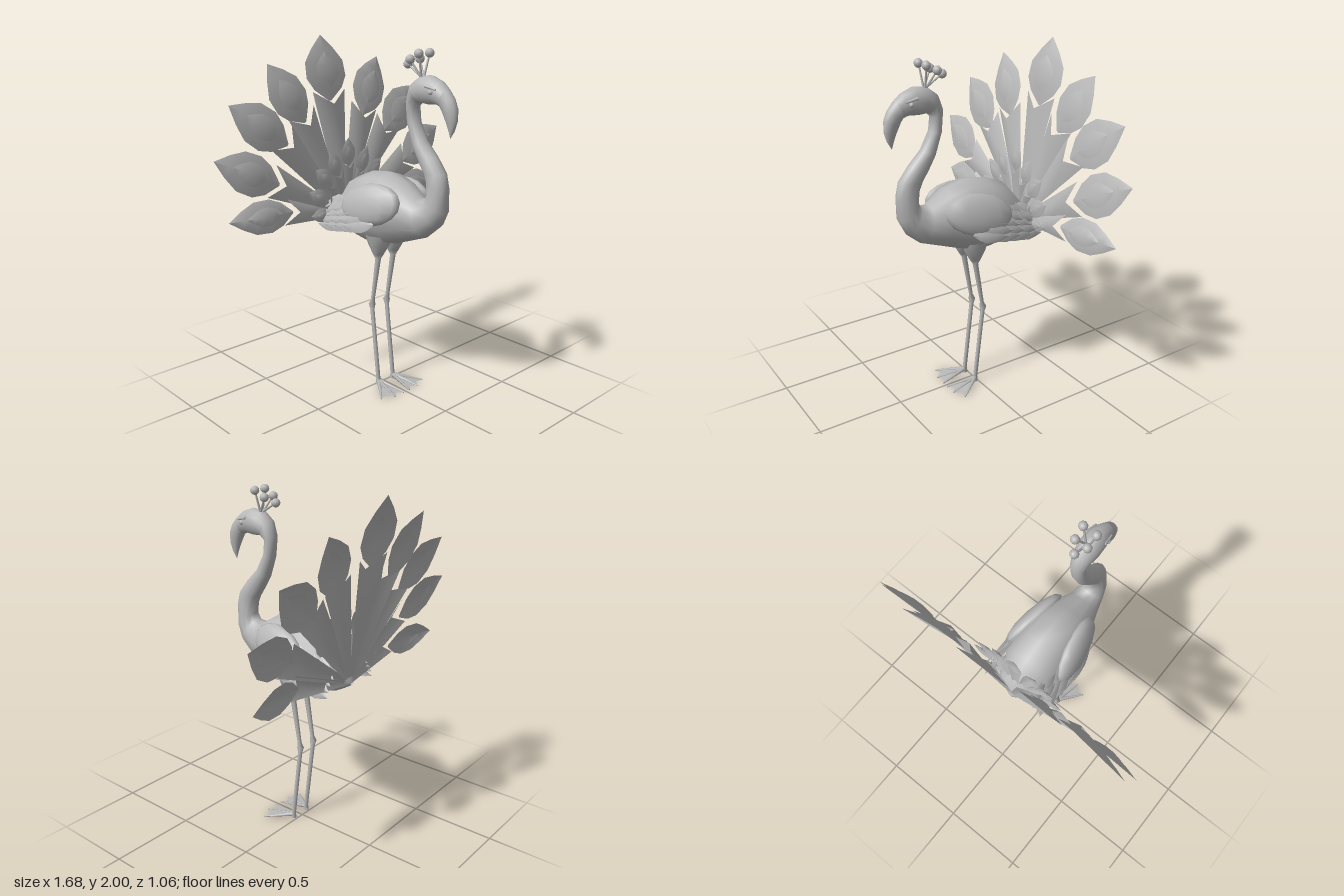
import * as THREE from 'three';

const grey = new THREE.MeshStandardMaterial({ color: 0xb8b8b8, side: THREE.DoubleSide });
grey.name = 'plumage grey';

function part(name, geometry, parent) {
  const mesh = new THREE.Mesh(geometry, grey);
  mesh.name = name;
  parent.add(mesh);
  return mesh;
}

function surface(positions, index) {
  const g = new THREE.BufferGeometry();
  g.setAttribute('position', new THREE.Float32BufferAttribute(positions, 3));
  g.setIndex(index);
  g.computeVertexNormals();
  return g;
}

// Skin elliptical rings; each section: [upperZ, upperY, lowerZ, lowerY, halfWidth]
function loft(sections, sides = 12) {
  const pos = [], idx = [];
  sections.forEach(([tz, ty, bz, by, w], i) => {
    for (let j = 0; j < sides; j++) {
      const a = (j / sides) * Math.PI * 2, c = Math.cos(a) / 2;
      pos.push(w * Math.sin(a), (ty + by) / 2 + (ty - by) * c, (tz + bz) / 2 + (tz - bz) * c);
      if (i === sections.length - 1) continue;
      const p = i * sides + j, q = i * sides + (j + 1) % sides;
      idx.push(p, p + sides, q, q, p + sides, q + sides);
    }
  });
  return surface(pos, idx);
}

// Folded leaf along +y; rows: [t, relative half width]; notch pulls the end's middle back
function blade(length, width, rows, cup, notch = 0) {
  const pos = [], idx = [];
  rows.forEach(([t, w], i) => {
    const last = i === rows.length - 1, y = t * length;
    const ridge = notch ? cup * t : cup * Math.sin(Math.PI * t);
    pos.push(-w * width, y, 0, 0, last ? y - notch : y, ridge, w * width, y, 0);
    if (last) return;
    const p = i * 3;
    for (const k of [p, p + 1]) idx.push(k, k + 1, k + 3, k + 1, k + 4, k + 3);
  });
  return surface(pos, idx);
}

const LEAF = [[0, 0.06], [0.18, 0.7], [0.36, 1], [0.6, 0.96], [0.8, 0.55], [1, 0]];
const QUILL = [[0, 0.1], [0.5, 0.56], [1, 1]];

// Feather with a notched stalk, a leaf-shaped head and a raised eye on both faces.
// The lifts move the head's base and tip forward of the fan's plane.
function eyedFeather([bx, by, tx, ty, width, baseLift, tipLift]) {
  const feather = new THREE.Group();
  feather.name = 'tailFeather';
  const reach = Math.hypot(bx, by);
  const stalk = part('featherStalk', blade(reach + 0.06, width * 0.82, QUILL, 0.035, 0.08), feather);
  stalk.rotation.set(Math.asin(baseLift / reach), 0, -Math.atan2(bx, by), 'ZXY');

  const head = new THREE.Group();
  head.name = 'featherHead';
  const length = Math.hypot(tx - bx, ty - by), cup = 0.028, s = 0.56;
  head.position.set(bx, by, baseLift);
  head.rotation.set(Math.asin((tipLift - baseLift) / length), 0, -Math.atan2(tx - bx, ty - by), 'ZXY');
  feather.add(head);
  part('featherVane', blade(length, width, LEAF, cup), head);
  for (const side of [1, -1]) {
    const eye = part('featherEye', blade(length * s, width * s, LEAF, cup * s), head);
    eye.position.set(0, length * 0.19, cup * (1 - s) + side * 0.006);
  }
  return feather;
}

// Heads of half the fan: base x, y, tip x, y, half width, base lift, tip lift
const FAN = [
  [0, 0.67, 0, 1.05, 0.145, 0.01, 0],
  [0.215, 0.565, 0.405, 0.905, 0.122, 0.03, 0.015],
  [0.365, 0.455, 0.695, 0.705, 0.122, 0.04, 0.025],
  [0.47, 0.25, 0.84, 0.43, 0.115, 0.055, 0.035],
  [0.4, 0.085, 0.79, 0.095, 0.092, 0.045, 0],
];

function fan(name) {
  const g = new THREE.Group();
  g.name = name;
  FAN.forEach((f, i) => {
    g.add(eyedFeather(f));
    if (i) g.add(eyedFeather([-f[0], f[1], -f[2], ...f.slice(3)]));
  });
  return g;
}

// Tapered rod between two points
function rod(name, a, b, r1, r2, parent) {
  const from = new THREE.Vector3(...a), to = new THREE.Vector3(...b);
  const dir = to.clone().sub(from);
  const m = part(name, new THREE.CylinderGeometry(r2, r1, dir.length(), 6), parent);
  m.position.copy(from).add(to).multiplyScalar(0.5);
  m.quaternion.setFromUnitVectors(new THREE.Vector3(0, 1, 0), dir.normalize());
}

// Wing on the +x side (side = 1) or -x side (side = -1)
function wing(side) {
  const g = new THREE.Group();
  g.name = side > 0 ? 'leftWing' : 'rightWing';
  const shoulder = part('wingShoulder', new THREE.SphereGeometry(1, 12, 8), g);
  shoulder.scale.set(0.055, 0.118, 0.2);
  shoulder.position.set(side * 0.148, 1.125, 0.05);
  shoulder.rotation.set(-0.2, side * -0.2, side * 0.22);
  const lerp = THREE.MathUtils.lerp;
  // Point on the wing: k runs from the lower to the upper edge
  const at = (z, k, x) => {
    const t = (0.15 - z) / 0.48;
    const y = lerp(lerp(1.04, 0.95, t), lerp(1.235, 1.06, t), k);
    return new THREE.Vector3(side * (x - 0.06 * k * k), y, z);
  };
  for (let row = 0; row < 4; row++) {
    const count = 5 - (row > 2 ? 1 : 0);
    for (let i = 0; i < count; i++) {
      const k = i / (count - 1), z = 0.12 - row * 0.085 - (i % 2) * 0.03;
      const from = at(z, k, 0.19 - row * 0.004);
      const to = at(Math.max(z - 0.22, -0.34), k * 0.85, 0.225 - row * 0.009);
      const f = part('wingFeather', blade(from.distanceTo(to), 0.042, LEAF, 0.018), g);
      const y = to.clone().sub(from).normalize();
      const x = y.clone().cross(new THREE.Vector3(side, 0.3, 0)).normalize();
      f.quaternion.setFromRotationMatrix(new THREE.Matrix4().makeBasis(x, y, x.clone().cross(y)));
      f.position.copy(from);
    }
  }
  return g;
}

// Leg with webbed foot
function leg(side) {
  const g = new THREE.Group();
  g.name = side > 0 ? 'leftLeg' : 'rightLeg';
  const rings = [[0.94, 0.025, 0.085], [0.88, 0.025, 0.065], [0.82, 0.02, 0.034], [0.79, 0.018, 0.017],
    [0.53, -0.028, 0.012], [0.5, -0.035, 0.021], [0.47, -0.032, 0.013], [0.04, 0.018, 0.013], [0.008, 0.02, 0.018]];
  part('shank', loft(rings.map(([y, z, r]) => [z + r, y, z - r, y, r * 0.9]), 8), g);
  const tips = [-0.2, 0.2, 0.66].map(a => [side * Math.sin(a) * 0.18, 0.007, 0.02 + Math.cos(a) * 0.18]);
  tips.forEach(t => rod('toe', [0, 0.03, 0.02], t, 0.013, 0.004, g));
  rod('hindToe', [0, 0.03, 0.02], [-side * 0.01, 0.007, 0], 0.01, 0.003, g);
  for (let i = 0; i < 2; i++) {
    const a = tips[i], b = tips[i + 1];
    const mid = [(a[0] + b[0]) * 0.42, 0.008, 0.02 + (a[2] + b[2] - 0.04) * 0.42];
    part('web', surface([0, 0.03, 0.02, ...a, ...mid, ...b], side > 0 ? [0, 1, 2, 0, 2, 3] : [0, 2, 1, 0, 3, 2]), g);
  }
  g.position.x = side * 0.058;
  return g;
}

export function createModel() {
  const bird = new THREE.Group();
  bird.name = 'bird';

  // Body, neck and head in one skin
  part('bodyNeckAndHead', loft([
    [-0.35, 0.98, -0.345, 0.96, 0.01], [-0.32, 1.08, -0.28, 0.92, 0.115], [-0.2, 1.225, -0.16, 0.885, 0.162],
    [-0.08, 1.275, -0.05, 0.865, 0.172], [0.05, 1.29, 0.1, 0.885, 0.168], [0.17, 1.255, 0.22, 0.93, 0.14],
    [0.28, 1.185, 0.34, 0.975, 0.095], [0.335, 1.19, 0.425, 1.045, 0.075], [0.352, 1.225, 0.47, 1.13, 0.063],
    [0.34, 1.29, 0.475, 1.26, 0.055], [0.32, 1.33, 0.458, 1.34, 0.052], [0.28, 1.39, 0.395, 1.42, 0.05],
    [0.24, 1.46, 0.32, 1.495, 0.046], [0.2, 1.58, 0.268, 1.59, 0.042], [0.19, 1.7, 0.258, 1.665, 0.043],
    [0.22, 1.78, 0.285, 1.69, 0.054], [0.28, 1.825, 0.335, 1.685, 0.063], [0.35, 1.835, 0.39, 1.69, 0.06],
    [0.42, 1.81, 0.415, 1.685, 0.05], [0.465, 1.775, 0.425, 1.68, 0.042],
  ]), bird);
  part('beak', loft([
    [0.465, 1.775, 0.425, 1.68, 0.042], [0.505, 1.73, 0.435, 1.665, 0.038], [0.528, 1.68, 0.447, 1.64, 0.034],
    [0.53, 1.62, 0.463, 1.605, 0.024], [0.515, 1.57, 0.478, 1.565, 0.013], [0.49, 1.53, 0.488, 1.53, 0.002],
  ]), bird);

  // Eyes and brows
  for (const s of [1, -1]) {
    const eye = part('eye', new THREE.SphereGeometry(0.014, 8, 6), bird);
    eye.position.set(s * 0.05, 1.755, 0.395);
    rod('brow', [s * 0.055, 1.785, 0.36], [s * 0.048, 1.77, 0.425], 0.009, 0.005, bird);
  }

  // Crest of knobbed stems
  for (const [x, y, z] of [[0.04, 1.94, 0.3], [-0.04, 1.94, 0.3], [0.036, 1.908, 0.235], [-0.036, 1.908, 0.235], [0, 1.88, 0.185]]) {
    rod('crestStem', [x * 0.2, 1.815, 0.29], [x, y, z], 0.007, 0.005, bird);
    const knob = part('crestKnob', new THREE.SphereGeometry(0.025, 8, 6), bird);
    knob.position.set(x, y, z);
  }

  // Wings and legs
  for (const s of [1, -1]) bird.add(wing(s), leg(s));

  // Large leaning fan and a small upright one in front of it
  const large = fan('largeTailFan');
  large.position.set(0, 0.97, -0.335);
  large.rotation.x = -0.19;
  const small = fan('smallTailFan');
  small.position.set(0, 0.97, -0.305);
  small.scale.set(0.36, 0.44, 0.5);
  small.rotation.x = 0.02;
  bird.add(large, small);
  return bird;
}
